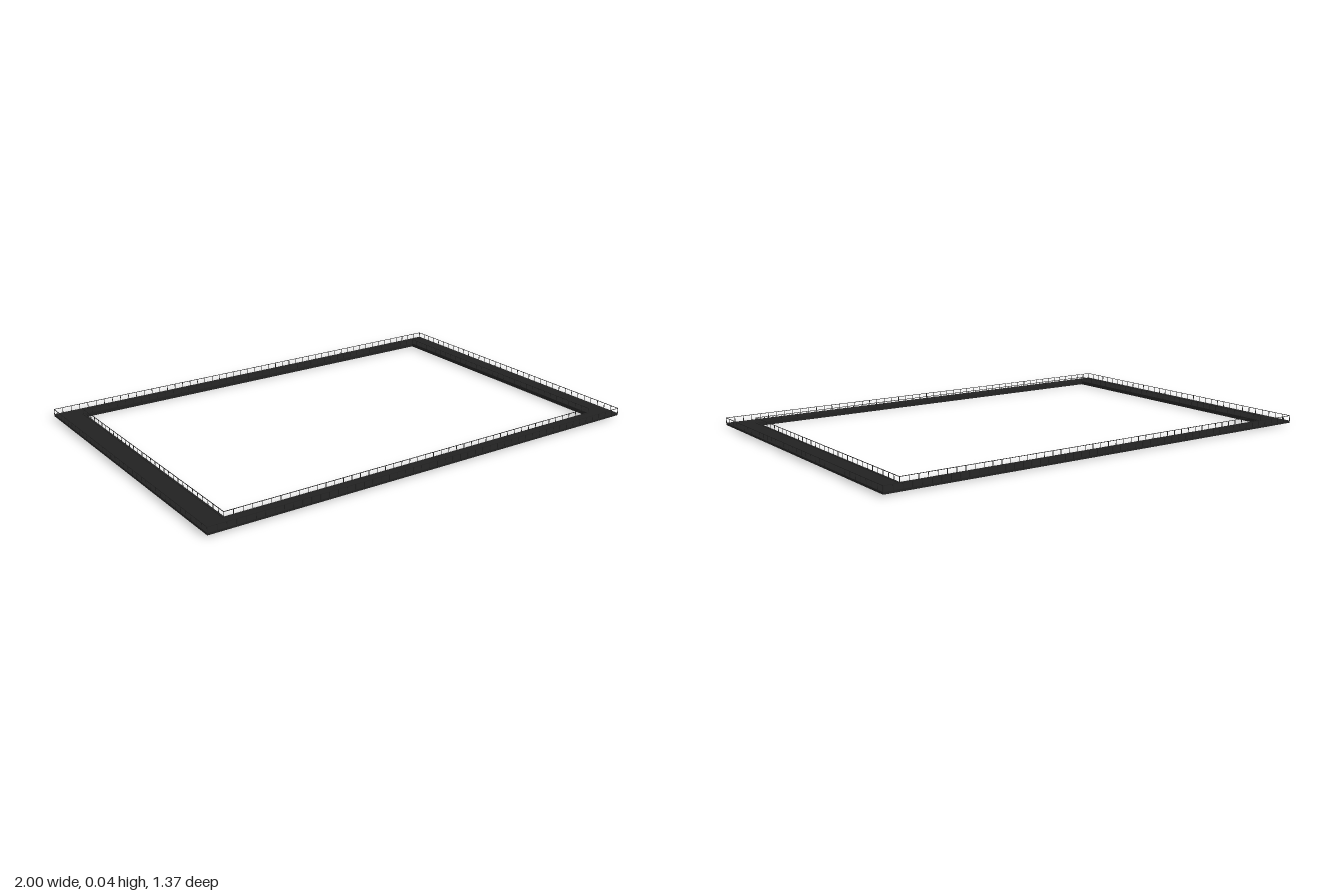
import * as THREE from 'three';

const dark = new THREE.MeshStandardMaterial({ color: 0x222222 });
const OUT = { x: 1, z: 0.683 };
const INN = { x: 0.892, z: 0.607 };
const DECK_TOP = 0.014, RAIL_TOP = 0.037, BAR = 0.002, SPACING = 0.0385;

function box(name, w, h, d, x, y, z) {
  const mesh = new THREE.Mesh(new THREE.BoxGeometry(w, h, d), dark);
  mesh.name = name;
  mesh.position.set(x, y, z);
  return mesh;
}

// Flat rectangular ring lying in the xz plane between two heights
function ring(name, outer, inner, y0, y1) {
  const rect = (target, { x, z }) =>
    target.moveTo(-x, -z).lineTo(x, -z).lineTo(x, z).lineTo(-x, z).closePath();
  const shape = rect(new THREE.Shape(), outer);
  shape.holes.push(rect(new THREE.Path(), inner));
  const geo = new THREE.ExtrudeGeometry(shape, { depth: y1 - y0, bevelEnabled: false });
  geo.rotateX(-Math.PI / 2).translate(0, y0, 0);
  const mesh = new THREE.Mesh(geo, dark);
  mesh.name = name;
  return mesh;
}

// Thin railing: a top rail carried by evenly spaced posts
function railing(name, { x, z }) {
  const group = new THREE.Group();
  group.name = name;
  group.add(ring('topRail', { x, z }, { x: x - BAR, z: z - BAR }, RAIL_TOP - BAR, RAIL_TOP));
  const px = x - BAR / 2, pz = z - BAR / 2;
  const spots = [];
  const nx = Math.round((2 * px) / SPACING), nz = Math.round((2 * pz) / SPACING);
  for (const s of [-1, 1]) {
    for (let i = 0; i <= nx; i++) spots.push([-px + (2 * px * i) / nx, s * pz]);
    for (let i = 1; i < nz; i++) spots.push([s * px, -pz + (2 * pz * i) / nz]);
  }
  const h = RAIL_TOP - BAR - DECK_TOP;
  for (const [a, b] of spots) group.add(box('post', BAR, h, BAR, a, DECK_TOP + h / 2, b));
  return group;
}

export function createModel() {
  const model = new THREE.Group();
  model.name = 'walkway';

  // Deck, with a deeper lip around the opening
  model.add(ring('deck', OUT, INN, 0.005, DECK_TOP));
  model.add(ring('innerLip', { x: INN.x + 0.008, z: INN.z + 0.006 }, INN, 0, 0.016));

  // Railings along both edges
  model.add(railing('outerRailing', OUT));
  model.add(railing('innerRailing', { x: INN.x + 0.004, z: INN.z + 0.004 }));
  return model;
}
